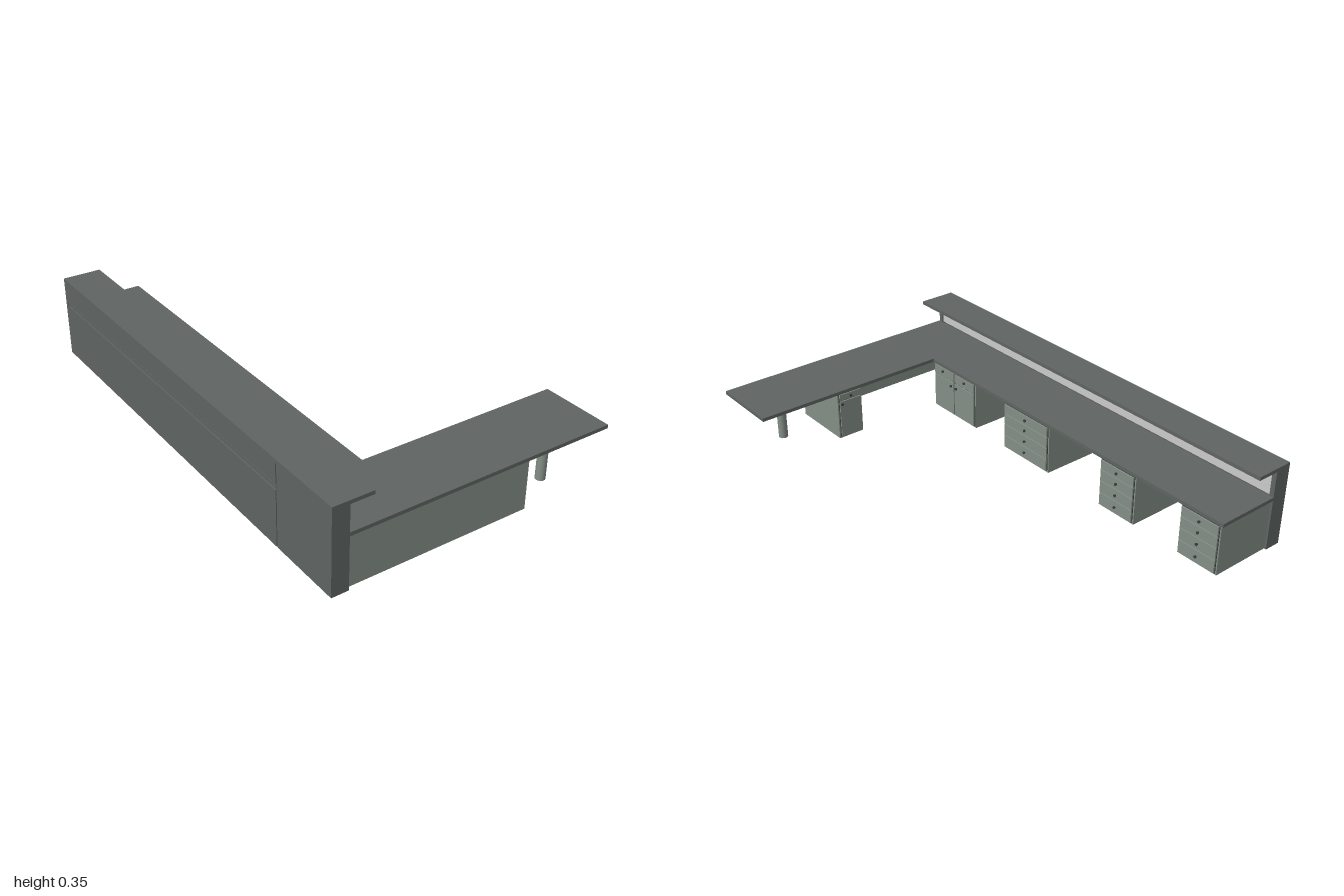
import * as THREE from 'three';

const mat = (color) => new THREE.MeshStandardMaterial({ color });

export function createModel() {
  const desk = new THREE.Group();
  desk.name = 'receptionDesk';
  const dark = mat(0x5f6563), base = mat(0x848e86), pale = mat(0xcccccc), shadow = mat(0x3a3e3c);

  // Box given by its lower and upper corner
  const box = (name, material, [x0, y0, z0], [x1, y1, z1], parent = desk) => {
    const m = new THREE.Mesh(new THREE.BoxGeometry(x1 - x0, y1 - y0, z1 - z0), material);
    m.position.set((x0 + x1) / 2, (y0 + y1) / 2, (z0 + z1) / 2);
    m.name = name;
    parent.add(m);
    return m;
  };

  // Counter wall: core, end posts, pale inner strip and ledge
  box('wallCore', dark, [-0.6, 0, -0.98], [-0.55, 0.34, 0.98]);
  box('wallLowerInner', base, [-0.55, 0.004, -0.98], [-0.535, 0.215, 0.98]);
  box('wallUpperInner', pale, [-0.55, 0.23, -0.98], [-0.543, 0.34, 0.98]);
  for (const s of [-1, 1]) {
    box('wallEndPost', dark, [-0.605, 0, Math.min(s, s * 0.98)], [-0.535, 0.34, Math.max(s, s * 0.98)]);
  }
  box('counterLedge', dark, [-0.605, 0.34, -1], [-0.44, 0.355, 1]);

  // Outer cladding, parted by narrow grooves
  box('claddingLower', dark, [-0.605, 0, -0.98], [-0.6, 0.232, 0.677]);
  box('claddingRail', dark, [-0.603, 0.236, -0.98], [-0.6, 0.252, 0.677]);
  box('claddingUpper', dark, [-0.605, 0.256, -0.98], [-0.6, 0.34, 0.677]);
  box('claddingEnd', dark, [-0.605, 0, 0.683], [-0.6, 0.34, 0.98]);

  // L-shaped worktop, drawn in x and -z, then laid flat
  const outline = new THREE.Shape([
    [-0.535, -1], [0.605, -1], [0.605, -0.69], [-0.262, -0.69], [-0.262, 1], [-0.535, 1],
  ].map(([x, y]) => new THREE.Vector2(x, y)));
  const worktop = new THREE.Mesh(
    new THREE.ExtrudeGeometry(outline, { depth: 0.015, bevelEnabled: false }), dark);
  worktop.rotation.x = -Math.PI / 2;
  worktop.position.y = 0.216;
  worktop.name = 'worktop';
  desk.add(worktop);

  // Return: front panel and round leg
  box('returnFrontPanel', base, [-0.535, 0, 0.97], [0.24, 0.216, 0.985]);
  const leg = new THREE.Mesh(new THREE.CylinderGeometry(0.02, 0.02, 0.216, 16), base);
  leg.position.set(0.42, 0.108, 0.875);
  leg.name = 'leg';
  desk.add(leg);

  // Cabinet facing local +z, centred on local x, its front plane at z = 0.
  // Each front is [x0, x1, y0, y1, knobX, knobY].
  const cabinet = (name, width, depth, fronts) => {
    const g = new THREE.Group();
    g.name = name;
    box('carcass', base, [-width / 2, 0, -depth], [width / 2, 0.216, -0.008], g);
    box('frontGaps', shadow, [-width / 2 + 0.006, 0.006, -0.008], [width / 2 - 0.006, 0.212, -0.006], g);
    for (const [x0, x1, y0, y1, kx, ky] of fronts) {
      box('cabinetFront', base, [x0, y0, -0.006], [x1, y1, 0], g);
      const knob = new THREE.Mesh(new THREE.CylinderGeometry(0.006, 0.004, 0.008, 10), shadow);
      knob.rotation.x = Math.PI / 2;
      knob.position.set(kx, ky, 0.003);
      knob.name = 'knob';
      g.add(knob);
    }
    desk.add(g);
    return g;
  };

  // Four-drawer pedestals along the main run, facing +x
  const levels = [[0.01, 0.062], [0.066, 0.115], [0.119, 0.165], [0.169, 0.21]];
  for (const [z0, z1] of [[-0.08, 0.2], [-0.57, -0.38], [-0.99, -0.8]]) {
    const w = z1 - z0, h = w / 2 - 0.008;
    const g = cabinet('drawerPedestal', w, 0.275,
      levels.map(([y0, y1]) => [-h, h, y0, y1, 0, (y0 + y1) / 2]));
    g.rotation.y = Math.PI / 2;
    g.position.set(-0.26, 0, (z0 + z1) / 2);
  }

  // Corner cabinet: two drawers over two doors
  const corner = cabinet('cornerCabinet', 0.29, 0.27, [-1, 1].flatMap((s) => {
    const x0 = s < 0 ? -0.137 : 0.003, x1 = x0 + 0.134;
    return [
      [x0, x1, 0.169, 0.21, s * 0.075, 0.195],
      [x0, x1, 0.01, 0.163, s * 0.018, 0.145],
    ];
  }));
  corner.rotation.y = Math.PI / 2;
  corner.position.set(-0.265, 0, 0.545);

  // Return cabinet: drawer over door, facing -z
  const side = cabinet('returnCabinet', 0.12, 0.275, [
    [-0.052, 0.052, 0.182, 0.21, 0, 0.196],
    [-0.052, 0.052, 0.01, 0.177, -0.045, 0.165],
  ]);
  side.rotation.y = Math.PI;
  side.position.set(0.18, 0, 0.695);

  return desk;
}
